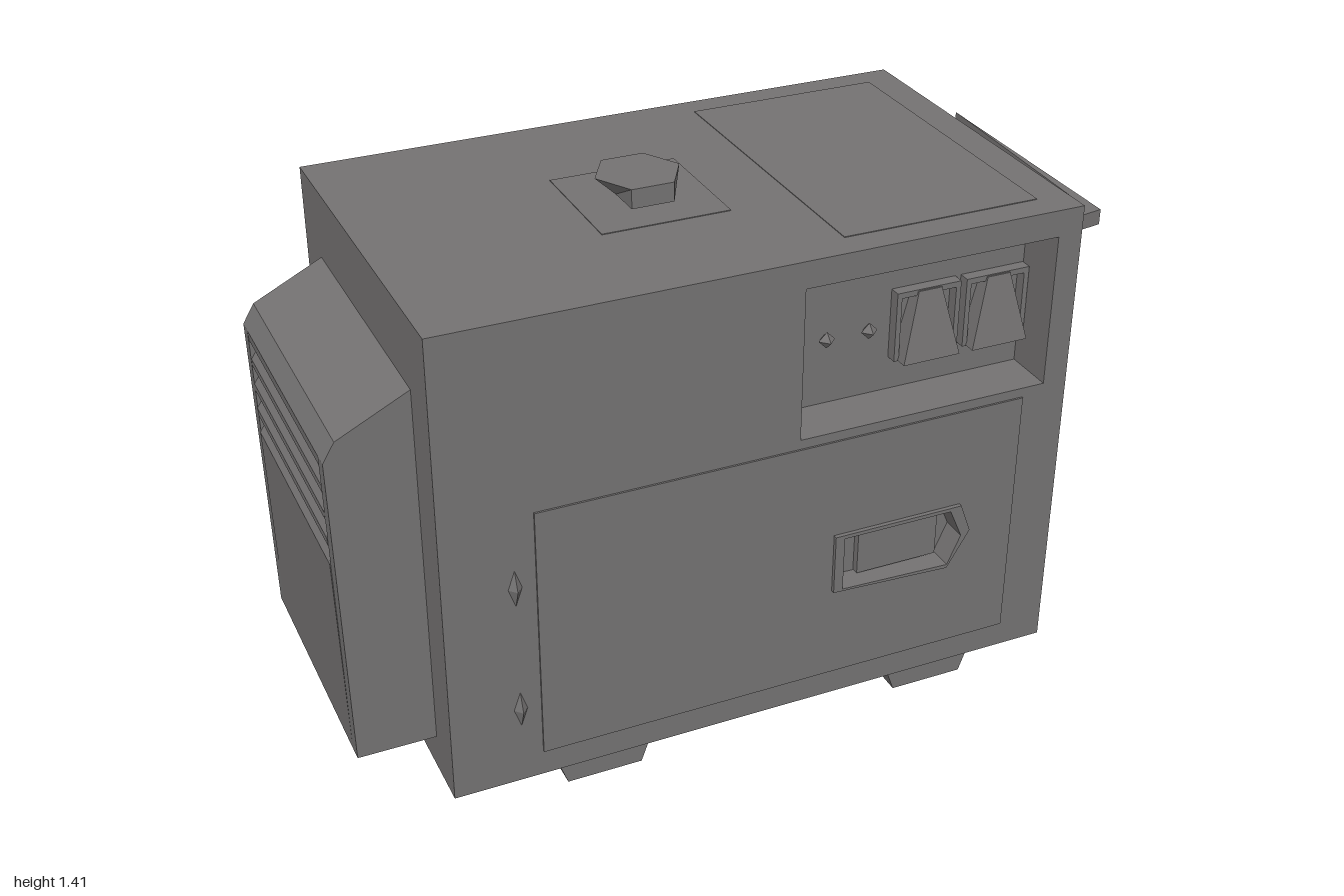
import * as THREE from 'three';

const grey = new THREE.MeshStandardMaterial({ color: 0x747272, flatShading: true });
grey.name = 'housing grey';

export function createModel() {
  const model = new THREE.Group();
  model.name = 'generator';

  const add = (name, geometry, x = 0, y = 0, z = 0) => {
    const mesh = new THREE.Mesh(geometry, grey);
    mesh.name = name;
    mesh.position.set(x, y, z);
    model.add(mesh);
    return mesh;
  };
  // Box given by its limits on each axis
  const box = (name, x0, x1, y0, y1, z0, z1) =>
    add(name, new THREE.BoxGeometry(x1 - x0, y1 - y0, z1 - z0),
      (x0 + x1) / 2, (y0 + y1) / 2, (z0 + z1) / 2);
  const points = (list) => list.map(([x, y]) => new THREE.Vector2(x, y));
  const rect = (x0, x1, y0, y1) => [[x0, y0], [x1, y0], [x1, y1], [x0, y1]];
  // Outline with holes, extruded from z0 to z1
  const slab = (name, outline, holes, z0, z1) => {
    const shape = new THREE.Shape(points(outline));
    holes.forEach((h) => shape.holes.push(new THREE.Path(points(h))));
    return add(name, new THREE.ExtrudeGeometry(shape, { depth: z1 - z0, bevelEnabled: false }), 0, 0, z0);
  };

  // Housing: solid rear block and front section with two recesses
  const panelHole = rect(0.115, 0.79, 0.885, 1.285);
  const latchHole = [[0.24, 0.43], [0.54, 0.42], [0.575, 0.5], [0.54, 0.58], [0.24, 0.58]];
  box('housing', -0.79, 0.855, 0.1, 1.355, -0.5, 0.345);
  slab('housingFront', rect(-0.79, 0.855, 0.1, 1.355), [panelHole, latchHole], 0.345, 0.481);

  // Door with its latch
  slab('door', rect(-0.56, 0.73, 0.17, 0.86), [latchHole], 0.481, 0.486);
  slab('latchFrame', [[0.215, 0.425], [0.54, 0.41], [0.6, 0.51], [0.57, 0.59], [0.215, 0.59]],
    [latchHole], 0.48, 0.497);
  box('latchRecess', 0.22, 0.58, 0.41, 0.59, 0.345, 0.43);
  slab('latchPaddle', rect(0.305, 0.53, 0.43, 0.575), [], 0.43, 0.45);

  // Door hinges
  for (const y of [0.315, 0.665]) {
    add('hinge', new THREE.OctahedronGeometry(1), -0.612, y, 0.48).scale.set(0.018, 0.052, 0.02);
  }

  // Control panel: two sockets and two knobs
  for (const x of [0.508, 0.7]) {
    slab('socketFrame', rect(x - 0.088, x + 0.088, 0.975, 1.16),
      [rect(x - 0.075, x + 0.075, 0.99, 1.145)], 0.345, 0.375);
    const cover = new THREE.CylinderGeometry(0.045, 0.11, 0.18, 4, 1);
    cover.rotateY(Math.PI / 4);
    add('socketCover', cover, x, 1.067, 0.36).scale.z = 0.6;
  }
  for (const x of [0.24, 0.355]) {
    add('knob', new THREE.OctahedronGeometry(0.022), x, 1.067, 0.36);
  }

  // Flush access panels on the roof and on the side
  box('roofPanel', 0.25, 0.77, 1.353, 1.357, -0.43, 0.405);
  box('fillerPlate', -0.255, 0.075, 1.353, 1.357, -0.17, 0.165);
  box('sidePanel', 0.853, 0.857, 0.44, 1.055, -0.325, 0.31);

  // Six-sided filler cap, undercut at its two side corners
  const cap = new THREE.CylinderGeometry(0.11, 0.11, 0.05, 6);
  cap.rotateY(Math.PI / 2);
  const p = cap.attributes.position;
  for (let i = 0; i < p.count; i++) {
    if (p.getY(i) < 0 && Math.abs(p.getX(i)) > 0.08) p.setX(i, Math.sign(p.getX(i)) * 0.057);
  }
  add('fillerCap', cap, -0.09, 1.39, -0.012);

  // Side hood: sloped top and four louvre notches between plain cheeks
  const top = [[-1, 1.03], [-0.97, 1.08], [-0.79, 1.17]];
  const base = [[-0.79, 0.2], [-0.988, 0.2]];
  const louvres = [];
  for (let i = 0; i < 4; i++) {
    const y = 0.74 + i * 0.07;
    louvres.push([-0.998, y], [-0.965, y + 0.05], [-0.998, y + 0.052]);
  }
  slab('louvredHood', [...base, ...louvres, ...top], [], -0.32, 0.32);
  for (const z of [-0.36, 0.32]) slab('hoodCheek', [...base, ...top], [], z, z + 0.04);

  // Carrying handle: front arm and bar tapering to the rear
  const handle = slab('handle', [[0.855, -0.375], [1, -0.35], [1, 0.345], [0.975, -0.31], [0.855, -0.31]],
    [], 0, 0.04);
  handle.rotation.x = -Math.PI / 2;
  handle.position.y = 1.223;
  // Rear arm, a sheet facing down
  const arm = add('handleRearArm', new THREE.ShapeGeometry(
    new THREE.Shape(points([[0.855, -0.4], [1, -0.345], [0.998, -0.3]]))), 0, 1.223, 0);
  arm.rotation.x = Math.PI / 2;

  // Feet, narrowing downwards along x
  for (const x of [-0.378, 0.55]) {
    for (const z of [-0.44, 0.31]) {
      slab('foot', [[x - 0.1, 0], [x + 0.1, 0], [x + 0.136, 0.1], [x - 0.136, 0.1]], [], z, z + 0.115);
    }
  }
  return model;
}
